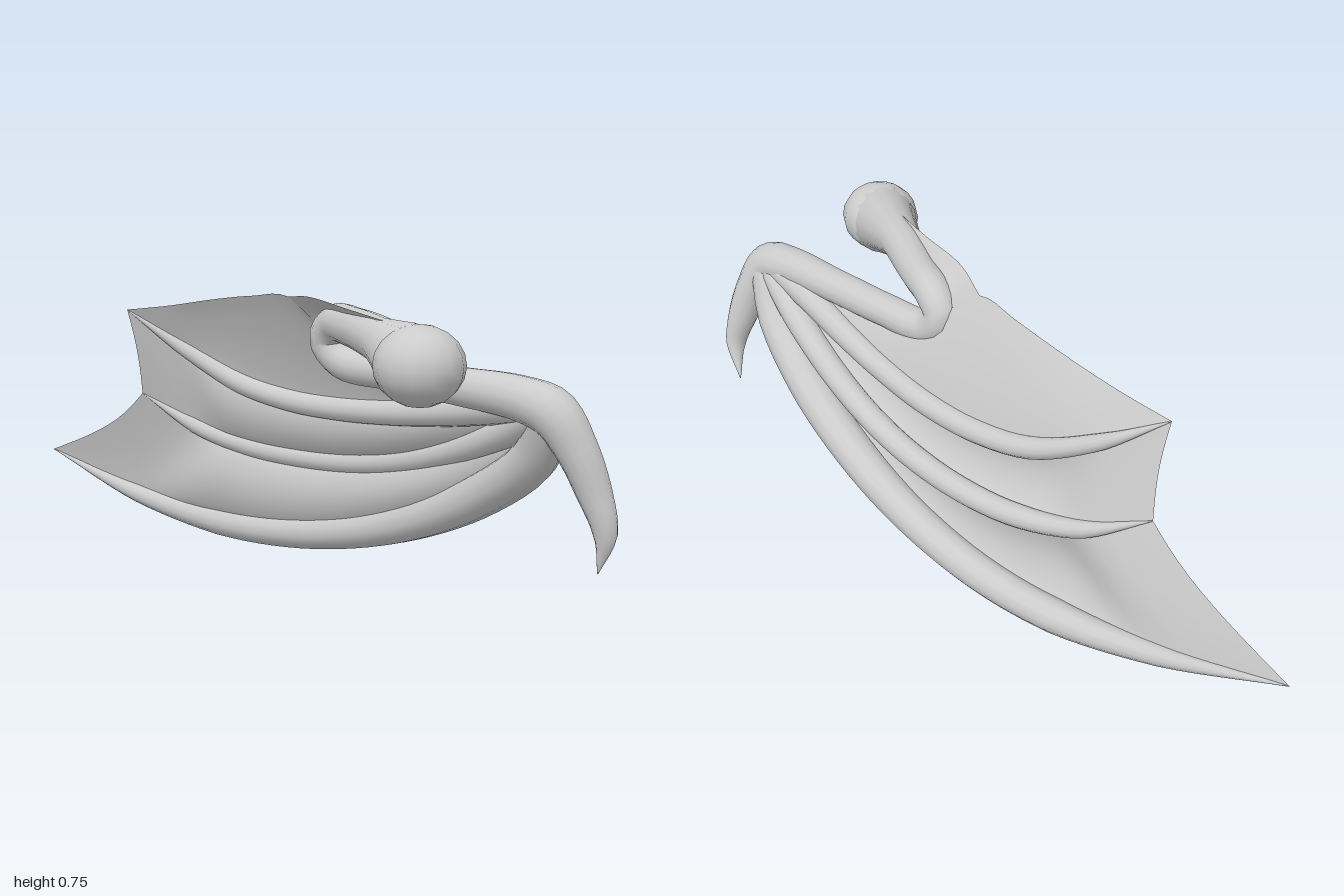
import * as THREE from 'three';

const V = (p) => new THREE.Vector3(...p);
const curveOf = (pts) => new THREE.CatmullRomCurve3(pts.map(V), false, 'centripetal');
const { smoothstep } = THREE.MathUtils;

// Piecewise linear lookup, one value per control point
function lerpList(list, t) {
  const f = t * (list.length - 1);
  const i = Math.min(Math.floor(f), list.length - 2);
  return THREE.MathUtils.lerp(list[i], list[i + 1], f - i);
}

// Tube whose radius follows a list of values along the curve
function taperedTube(curve, radii, segments = 32, sides = 12) {
  const geo = new THREE.TubeGeometry(curve, segments, 1, sides, false);
  const pos = geo.attributes.position;
  const v = new THREE.Vector3();
  for (let i = 0; i <= segments; i++) {
    const centre = curve.getPointAt(i / segments);
    const r = lerpList(radii, curve.getUtoTmapping(i / segments));
    for (let j = 0; j <= sides; j++) {
      const k = i * (sides + 1) + j;
      v.fromBufferAttribute(pos, k).sub(centre).multiplyScalar(r).add(centre);
      pos.setXYZ(k, v.x, v.y, v.z);
    }
  }
  return geo;
}

// Skin stretched between two curves: bulge pushes it along x up to a fold near the rear,
// notch hollows the trailing edge
function skin(a, b, bulge = 0, notch = 0) {
  const geo = new THREE.PlaneGeometry(1, 1, 36, 10);
  const pos = geo.attributes.position;
  for (let i = 0; i < pos.count; i++) {
    const u = pos.getX(i) + 0.5, w = pos.getY(i) + 0.5;
    const p = a.getPoint(u).lerp(b.getPoint(u), w);
    const arch = Math.max(0, Math.sin(Math.PI * w));
    p.x += bulge * arch ** 0.7 * smoothstep(u, 0, 0.4) * (1 - smoothstep(u, 0.78, 0.9));
    p.z += notch * arch * u ** 6;
    pos.setXYZ(i, p.x, p.y, p.z);
  }
  geo.computeVertexNormals();
  return geo;
}

export function createModel() {
  const wing = new THREE.Group();
  wing.name = 'foldedWing';
  const solid = new THREE.MeshStandardMaterial({ color: 0xcccccc });
  const thin = new THREE.MeshStandardMaterial({ color: 0xcccccc, side: THREE.DoubleSide });
  const add = (name, geo, mat = solid) => {
    const mesh = new THREE.Mesh(geo, mat);
    mesh.name = name;
    wing.add(mesh);
    return mesh;
  };

  // Shoulder ball
  const shoulder = add('shoulder', new THREE.SphereGeometry(1, 14, 10));
  shoulder.scale.set(0.103, 0.094, 0.108);
  shoulder.position.set(-0.192, 0.648, 0.674);

  // Upper arm flaring into the shoulder, elbow, forearm and thumb claw in one sweep
  const arm = curveOf([
    [-0.18, 0.65, 0.65], [-0.145, 0.664, 0.585], [-0.1, 0.678, 0.5], [0, 0.688, 0.33], [0.045, 0.685, 0.235],
    [0.06, 0.64, 0.195], [0.065, 0.59, 0.24], [0.065, 0.575, 0.4], [0.06, 0.565, 0.6], [0.06, 0.555, 0.78],
    [0.064, 0.53, 0.865], [0.088, 0.45, 0.915], [0.114, 0.35, 0.95], [0.134, 0.25, 0.973], [0.155, 0.145, 0.945],
  ]);
  add('armAndClaw', taperedTube(arm,
    [0.095, 0.076, 0.056, 0.05, 0.049, 0.047, 0.046, 0.045, 0.047, 0.054, 0.06, 0.05, 0.042, 0.029, 0.001], 76, 14));

  // Fingers fan out from the wrist to the trailing tips
  const fingers = [
    {
      name: 'upperFinger', radii: [0.04, 0.04, 0.036, 0.034, 0.033, 0.032, 0.03, 0.022, 0.001],
      pts: [[0.07, 0.55, 0.85], [0.09, 0.515, 0.68], [0.12, 0.48, 0.5], [0.147, 0.455, 0.32], [0.166, 0.442, 0.15],
        [0.171, 0.444, -0.02], [0.16, 0.475, -0.2], [0.118, 0.56, -0.38], [0.05, 0.66, -0.535]],
    },
    {
      name: 'middleFinger', radii: [0.04, 0.04, 0.037, 0.035, 0.034, 0.033, 0.031, 0.024, 0.001],
      pts: [[0.07, 0.54, 0.86], [0.12, 0.455, 0.7], [0.165, 0.38, 0.52], [0.197, 0.325, 0.34], [0.216, 0.292, 0.16],
        [0.222, 0.28, -0.02], [0.21, 0.287, -0.2], [0.177, 0.325, -0.38], [0.12, 0.41, -0.55]],
    },
    {
      name: 'lowerFinger', radii: [0.05, 0.056, 0.058, 0.055, 0.051, 0.048, 0.045, 0.028, 0.001],
      pts: [[0.07, 0.53, 0.865], [0.115, 0.41, 0.79], [0.172, 0.28, 0.6], [0.212, 0.175, 0.38], [0.236, 0.1, 0.15],
        [0.243, 0.055, -0.1], [0.23, 0.048, -0.35], [0.195, 0.085, -0.65], [0.155, 0.18, -0.99]],
    },
  ];
  const curves = fingers.map((f) => {
    const curve = curveOf(f.pts);
    add(f.name, taperedTube(curve, f.radii, 40));
    return curve;
  });

  // Skin: from forearm and back edge to the upper finger, then between the fingers
  const backEdge = curveOf([
    [0.06, 0.56, 0.83], [0.065, 0.57, 0.6], [0.068, 0.578, 0.4], [0.065, 0.65, 0.2], [0.04, 0.742, 0.08],
    [0.055, 0.733, -0.06], [0.064, 0.712, -0.21], [0.06, 0.682, -0.38], [0.05, 0.66, -0.535],
  ]);
  add('upperSkin', skin(backEdge, curves[0], 0.01), thin);
  add('middleSkin', skin(curves[0], curves[1], -0.03, 0.01), thin);
  add('lowerSkin', skin(curves[1], curves[2], -0.045, 0.055), thin);

  // Narrow skin web running over the upper arm to the elbow
  const armTop = curveOf([[-0.13, 0.68, 0.55], [-0.03, 0.7, 0.38], [0.04, 0.7, 0.23], [0.065, 0.65, 0.2]]);
  const webEdge = curveOf([[-0.14, 0.73, 0.55], [-0.08, 0.742, 0.38], [-0.02, 0.755, 0.2], [0.04, 0.742, 0.08]]);
  add('armWeb', skin(armTop, webEdge), thin);

  return wing;
}
